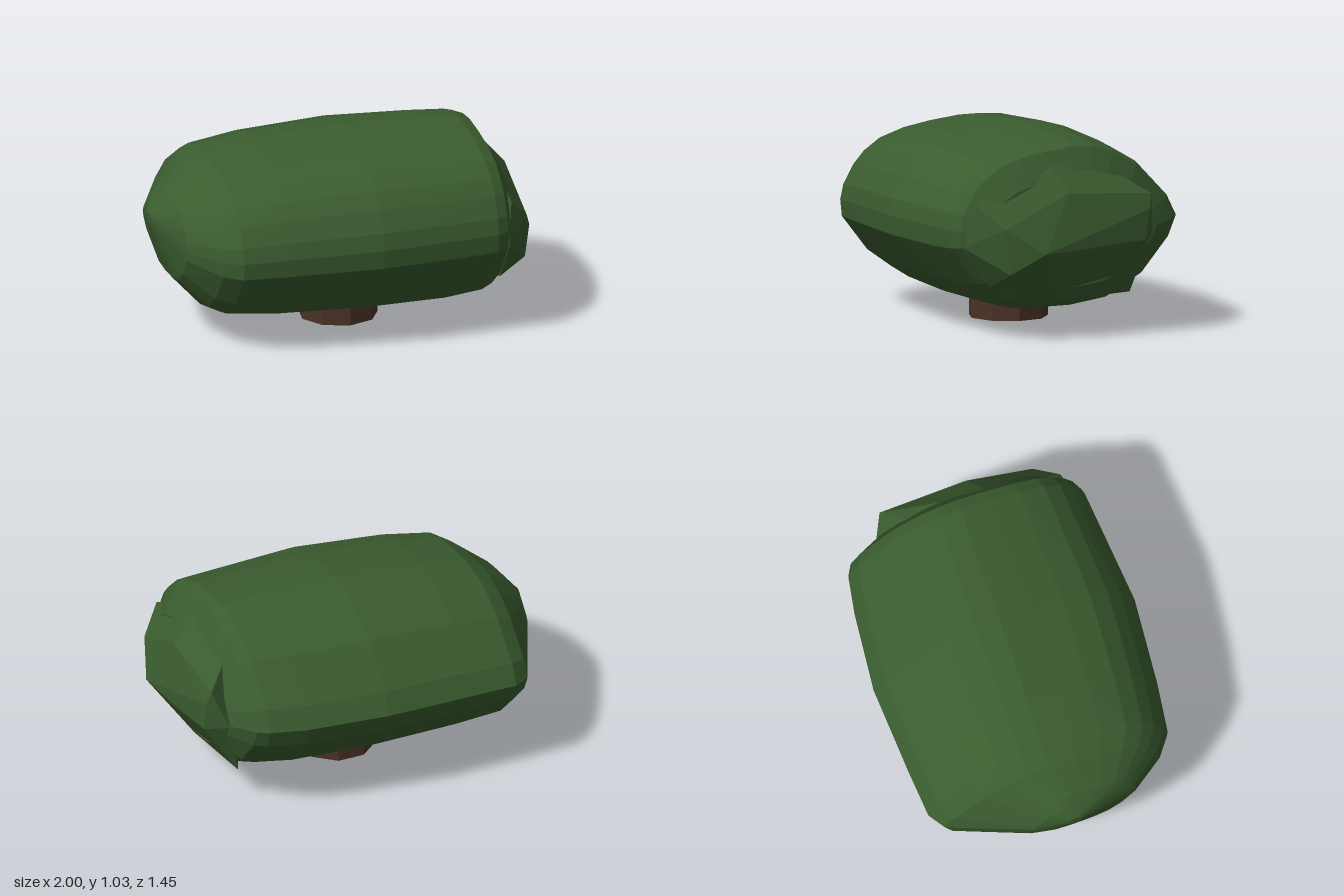
import * as THREE from 'three';
import { ConvexGeometry } from 'three/addons/geometries/ConvexGeometry.js';

const leaf = new THREE.MeshStandardMaterial({ color: 0x3a5c2f, flatShading: true });
const bark = new THREE.MeshStandardMaterial({ color: 0x4a3228, flatShading: true });

// Fullest cross-section of the foliage as [z, y]
const PROFILE = [
  [0.72, 0.58], [0.71, 0.48], [0.55, 0.27], [0.4, 0.16], [0.24, 0.12], [-0.04, 0.12],
  [-0.27, 0.15], [-0.5, 0.27], [-0.67, 0.46], [-0.72, 0.575], [-0.66, 0.69], [-0.46, 0.89],
  [-0.3, 0.98], [-0.16, 1.02], [-0.03, 1.03], [0.15, 1.01], [0.32, 0.98], [0.47, 0.93],
  [0.57, 0.86], [0.64, 0.78], [0.7, 0.67],
];

// Fit the profile into the given extents at x
function section([x, z0, z1, y0, y1]) {
  return PROFILE.map(([z, y]) => new THREE.Vector3(
    x,
    y0 + ((y - 0.12) / 0.91) * (y1 - y0),
    z0 + ((z + 0.72) / 1.44) * (z1 - z0),
  ));
}

function hull(name, points) {
  const mesh = new THREE.Mesh(new ConvexGeometry(points), leaf);
  mesh.name = name;
  return mesh;
}

export function createModel() {
  const model = new THREE.Group();
  model.name = 'bush';

  // Main foliage: sections along x as [x, zMin, zMax, yMin, yMax]
  const sections = [
    [-1.0, -0.04, 0.04, 0.61, 0.67],
    [-0.96, -0.22, 0.18, 0.48, 0.72],
    [-0.91, -0.32, 0.37, 0.34, 0.78],
    [-0.77, -0.64, 0.56, 0.19, 0.9],
    [-0.68, -0.7, 0.63, 0.15, 0.955],
    [-0.42, -0.715, 0.67, 0.128, 1.0],
    [0.06, -0.73, 0.72, 0.12, 1.03],
    [0.5, -0.675, 0.69, 0.12, 1.02],
    [0.7, -0.635, 0.68, 0.145, 1.012],
    [0.76, -0.6, 0.65, 0.17, 0.99],
    [0.84, -0.45, 0.54, 0.26, 0.84],
  ];
  model.add(hull('foliage', sections.flatMap(section)));

  // Clump bulging from the left end, with a sharp edge toward the back
  const clump = [
    [0.74, 0.87, -0.2], [0.92, 0.74, -0.38], [0.945, 0.66, -0.36], [0.84, 0.53, -0.43],
    [0.75, 0.2, -0.34], [0.945, 0.5, -0.34], [1.0, 0.47, 0.27], [0.97, 0.46, 0],
    [0.92, 0.77, 0.1], [0.82, 0.88, 0.15], [0.76, 0.95, 0.1], [0.8, 0.19, 0.1],
    [0.92, 0.36, 0.44], [0.92, 0.6, 0.47], [0.8, 0.72, 0.58], [0.77, 0.5, 0.64],
    [0.77, 0.28, 0.48], [0.6, 0.55, 0],
  ];
  model.add(hull('endClump', clump.map((p) => new THREE.Vector3(...p))));

  // Nine-sided trunk reaching up into the foliage
  const trunk = new THREE.Mesh(new THREE.CylinderGeometry(0.21, 0.21, 0.3, 9), bark);
  trunk.name = 'trunk';
  trunk.position.set(0.035, 0.15, 0.01);
  model.add(trunk);

  return model;
}
